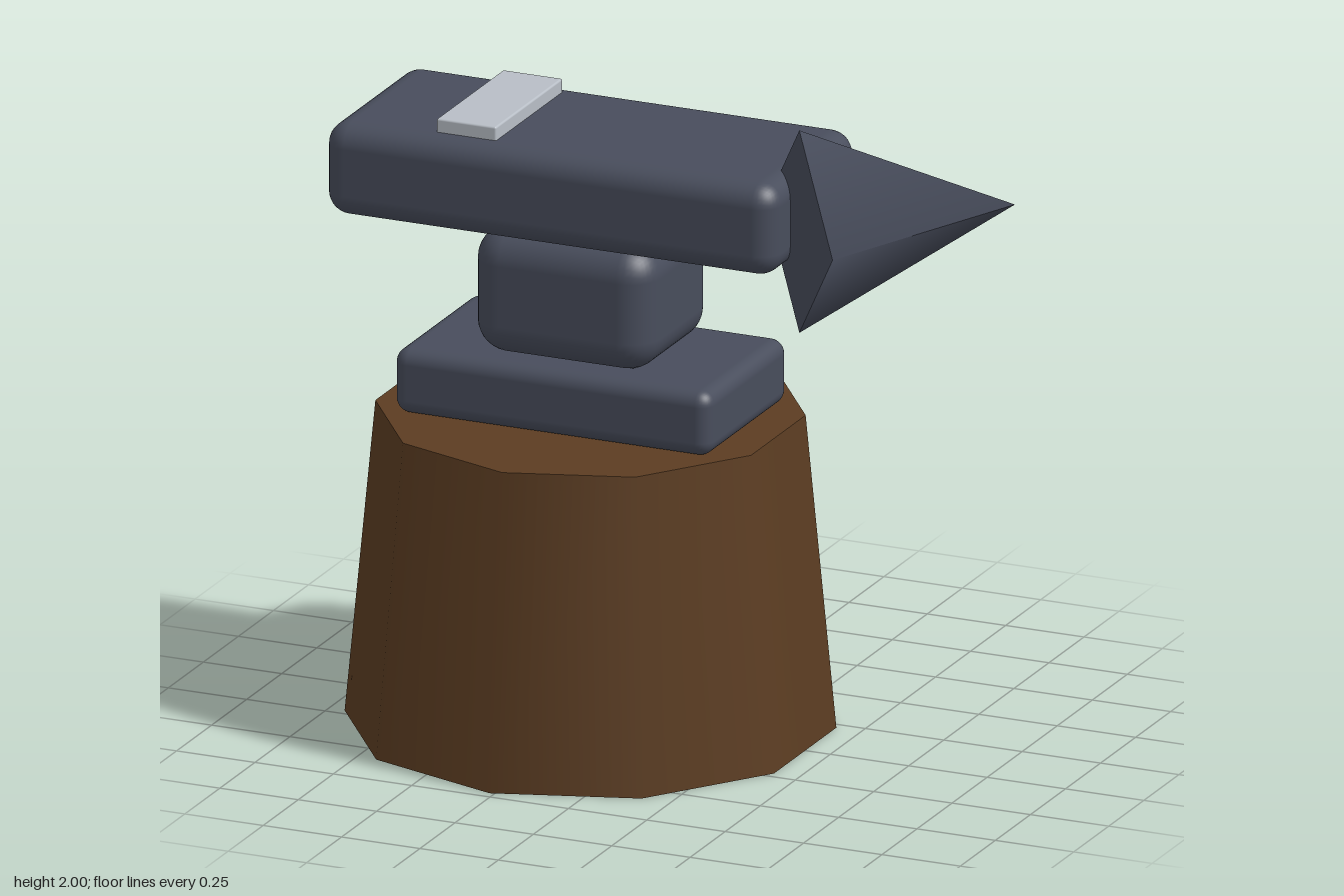
import * as THREE from 'three';
import { RoundedBoxGeometry } from 'three/addons/geometries/RoundedBoxGeometry.js';

const material = (name, color) => {
  const m = new THREE.MeshStandardMaterial({ color });
  m.name = name;
  return m;
};

export function createModel() {
  const group = new THREE.Group();
  group.name = 'anvilOnStump';
  const wood = material('brown wood', 0x5c3d22);
  const iron = material('dark iron', 0x484d5c);
  const steel = material('pale steel', 0xb8bec6);
  const centreX = -0.265;

  const add = (name, geometry, mat, x, y, z = 0) => {
    const mesh = new THREE.Mesh(geometry, mat);
    mesh.name = name;
    mesh.position.set(x, y, z);
    group.add(mesh);
    return mesh;
  };
  const block = (name, w, h, d, r, mat, x, y) =>
    add(name, new RoundedBoxGeometry(w, h, d, 4, r), mat, x, y);

  // Ten-sided tapered stump
  add('stump', new THREE.CylinderGeometry(0.63, 0.72, 0.96, 10), wood, centreX, 0.48);

  // Anvil body, from the foot up
  block('foot', 1.01, 0.2, 0.575, 0.045, iron, centreX, 1.06);
  block('waist', 0.575, 0.385, 0.48, 0.1, iron, centreX, 1.35);
  block('topBlock', 1.44, 0.285, 0.62, 0.07, iron, centreX, 1.688);

  // Striking plate set into the top
  block('facePlate', 0.19, 0.05, 0.475, 0.006, steel, -0.555, 1.847);

  // Four-sided horn, turned diagonally towards the back left
  const horn = new THREE.ConeGeometry(0.312, 0.672, 4);
  horn.scale(0.87, 1, 1);
  horn.rotateX(-Math.PI / 2);
  horn.rotateY(-Math.PI / 4);
  add('horn', horn, iron, 0.745, 1.688);

  return group;
}
